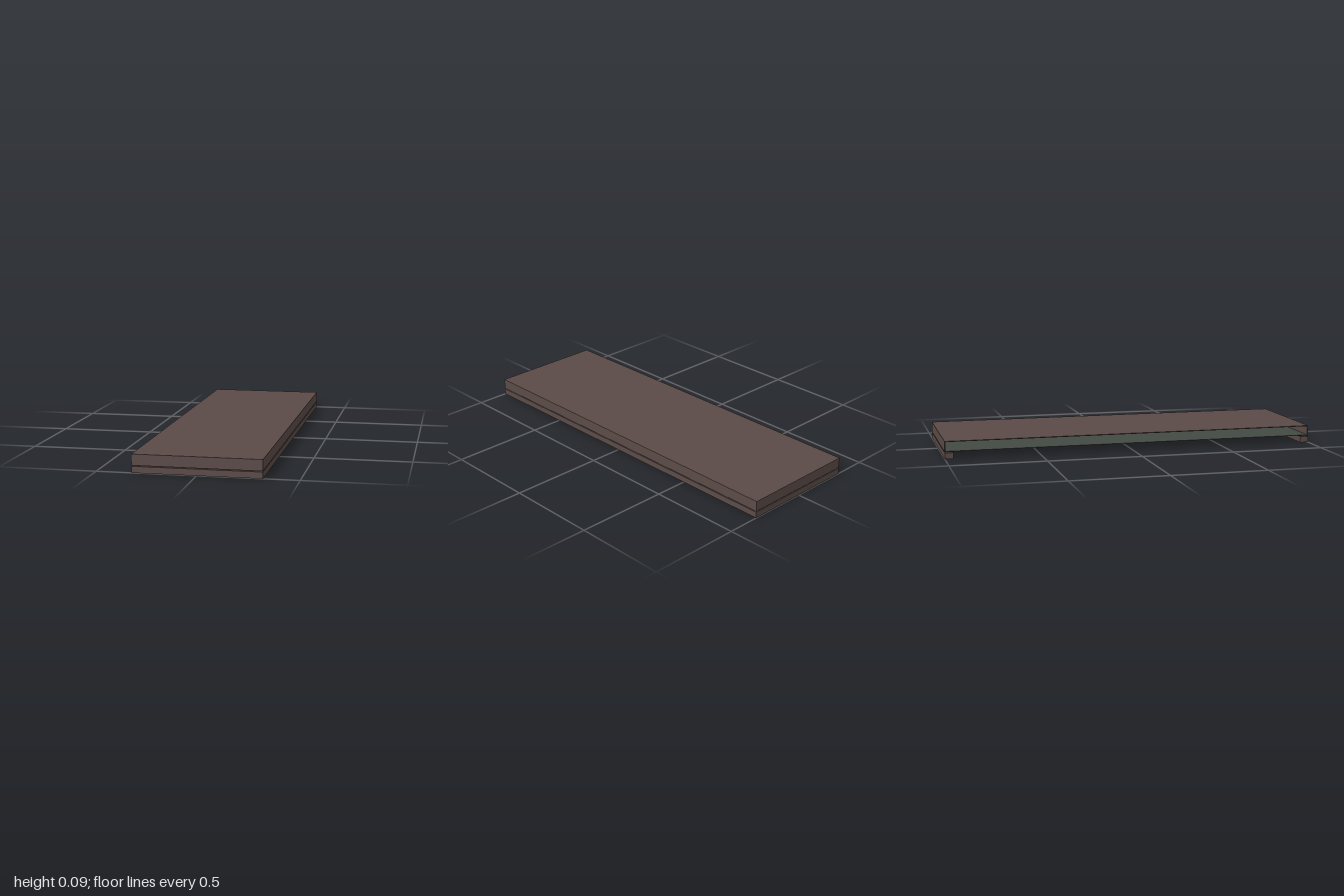
import * as THREE from 'three';

export function createModel() {
  const model = new THREE.Group();
  const brown = new THREE.MeshStandardMaterial({ color: 0x5b4b48 });
  brown.name = 'dark brown';
  const green = new THREE.MeshStandardMaterial({ color: 0x434a44 });
  green.name = 'grey green';

  const W = 0.322, L = 1; // half width and half length

  // Box given by its lower and upper corners
  function box(name, material, x0, x1, y0, y1, z0, z1, parent) {
    const mesh = new THREE.Mesh(new THREE.BoxGeometry(x1 - x0, y1 - y0, z1 - z0), material);
    mesh.position.set((x0 + x1) / 2, (y0 + y1) / 2, (z0 + z1) / 2);
    mesh.name = name;
    parent.add(mesh);
  }

  // Three-sided band along both ends and the +x side, open at -x
  function band(name, width, y0, y1) {
    const group = new THREE.Group();
    group.name = name;
    box(name + 'Side', brown, W - width, W, y0, y1, -L + width, L - width, group);
    box(name + 'Back', brown, -W, W, y0, y1, -L, -L + width, group);
    box(name + 'Front', brown, -W, W, y0, y1, L - width, L, group);
    model.add(group);
  }

  // Lower rail frame, floating just below the case
  band('lowerFrame', 0.045, 0, 0.0325);

  // Hollow case: bottom border, thin walls and lid
  band('caseBorder', 0.1, 0.037, 0.039);
  band('caseWall', 0.005, 0.039, 0.089);
  box('caseLid', brown, -W, W, 0.089, 0.093, -L, L, model);

  // Inner floor, reaching the open side
  box('caseFloor', green, -W, W - 0.005, 0.039, 0.041, -L + 0.005, L - 0.005, model);

  return model;
}
